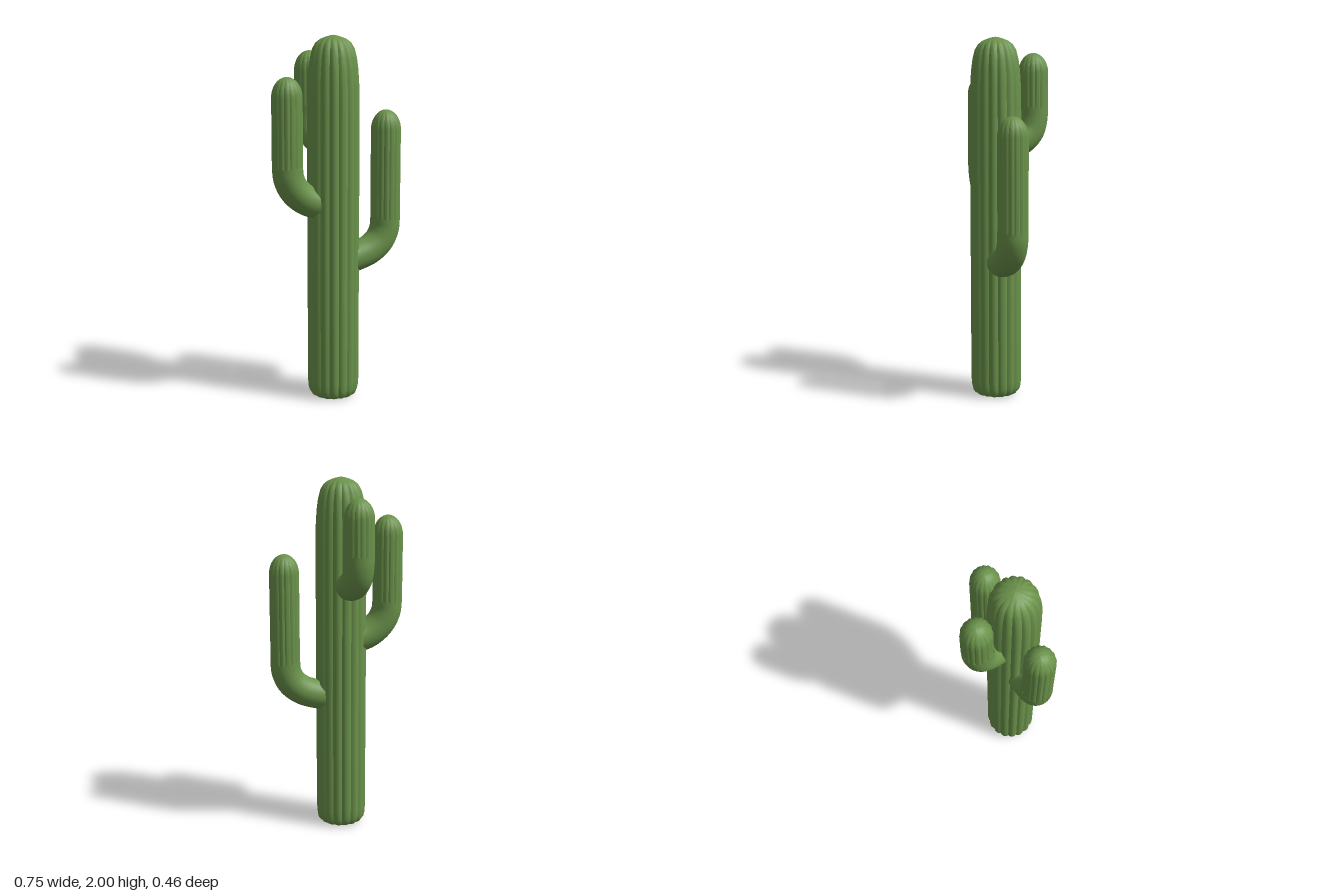
import * as THREE from 'three';
import { toCreasedNormals } from 'three/addons/utils/BufferGeometryUtils.js';

const RIBS = 16;

// Lathe a profile of [radius, y] points, then pinch it into rounded ribs with sharp grooves
function ribbedColumn(profile, depth) {
  const geo = new THREE.LatheGeometry(profile.map(([r, y]) => new THREE.Vector2(r, y)), RIBS * 6);
  const pos = geo.attributes.position;
  for (let i = 0; i < pos.count; i++) {
    const x = pos.getX(i), z = pos.getZ(i);
    const wave = Math.abs(Math.cos(Math.atan2(x, z) * RIBS / 2));
    const scale = 1 - depth * (1 - wave);
    pos.setXYZ(i, x * scale, pos.getY(i), z * scale);
  }
  return toCreasedNormals(geo, 0.6);
}

export function createModel() {
  const green = new THREE.MeshStandardMaterial({ color: 0x6b934b, side: THREE.DoubleSide });
  green.name = 'cactus green';
  const model = new THREE.Group();
  model.name = 'cactus';

  const add = (parent, name, geo, x = 0, y = 0, z = 0) => {
    const mesh = new THREE.Mesh(geo, green);
    mesh.name = name;
    mesh.position.set(x, y, z);
    parent.add(mesh);
  };

  // Trunk with rounded foot and domed crown
  const trunk = [
    [0, 0], [0.09, 0], [0.108, 0.003], [0.122, 0.011], [0.133, 0.026], [0.139, 0.05], [0.142, 0.09],
    [0.142, 0.6], [0.142, 1.2], [0.141, 1.6], [0.139, 1.74], [0.134, 1.82], [0.126, 1.88],
    [0.113, 1.93], [0.095, 1.96], [0.07, 1.979], [0.04, 1.991], [0.015, 1.998], [0, 2],
  ];
  add(model, 'trunk', ribbedColumn(trunk, 0.075), -0.026, 0, 0.084);

  // Each arm: elbow path in (distance outward, y), ending at the seam below the ribbed upper arm
  const R = 0.083;
  const arms = [
    { name: 'leftArm', root: [-0.026, 0.084], end: [0.294, 0.084], top: 1.592,
      path: [[0.07, 0.77], [0.15, 0.787], [0.225, 0.815], [0.285, 0.865], [0.315, 0.93], [0.32, 0.985]] },
    { name: 'rightArm', root: [-0.026, 0.084], end: [-0.295, 0.084], top: 1.785,
      path: [[0.06, 1.095], [0.12, 1.105], [0.175, 1.13], [0.23, 1.18], [0.262, 1.245], [0.269, 1.305]] },
    { name: 'backArm', root: [-0.026, 0.084], end: [-0.067, -0.146], top: 1.912,
      path: [[0.03, 1.42], [0.1, 1.423], [0.16, 1.437], [0.21, 1.485], [0.23, 1.55], [0.2336, 1.615]] },
  ];

  for (const { name, root, end, top, path } of arms) {
    const arm = new THREE.Group();
    arm.name = name;
    model.add(arm);

    // Smooth elbow
    const reach = path[path.length - 1][0], seam = path[path.length - 1][1];
    const points = path.map(([d, y]) => new THREE.Vector3(
      root[0] + (end[0] - root[0]) * d / reach, y, root[1] + (end[1] - root[1]) * d / reach));
    add(arm, name + 'Elbow',
      new THREE.TubeGeometry(new THREE.CatmullRomCurve3(points), 28, R, 48, false));

    // Ribbed upper arm with domed tip
    const profile = [[0, seam - 0.01], [R, seam - 0.01], [R, (seam + top) / 2]];
    for (let i = 0; i <= 10; i++) {
      const a = i / 10 * Math.PI / 2;
      profile.push([i === 10 ? 0 : R * Math.cos(a), top - 0.11 + 0.11 * Math.sin(a)]);
    }
    add(arm, name + 'Upper', ribbedColumn(profile, 0.06), end[0], 0, end[1]);
  }
  return model;
}
